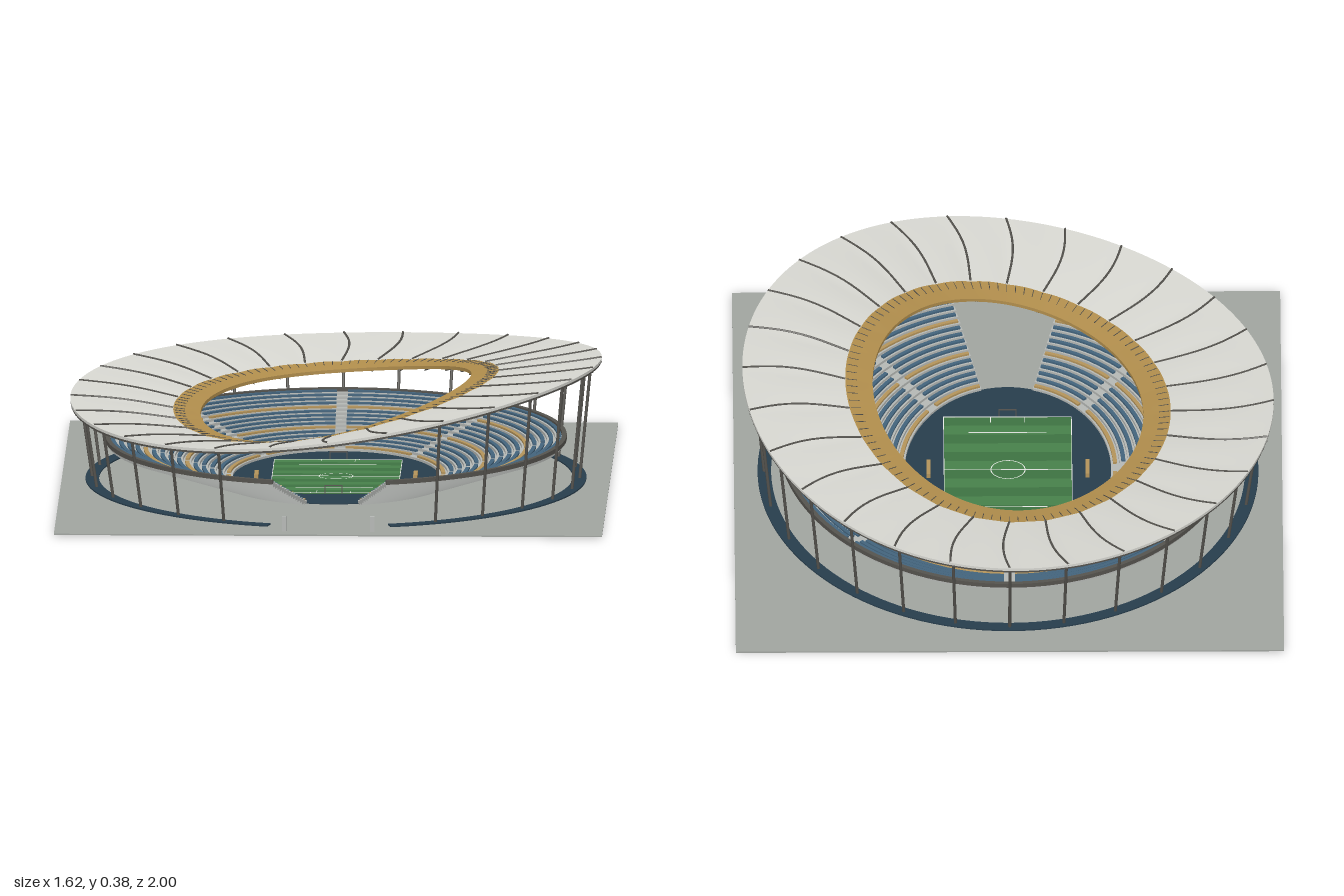
import * as THREE from 'three';
import { mergeGeometries, toCreasedNormals } from 'three/addons/utils/BufferGeometryUtils.js';

const TAU = Math.PI * 2, FRONT = Math.PI / 2, GATE = 0.25, BAYS = 28;
const COLORS = {
  ground: 0xa0a49f, navy: 0x273d4c, concrete: 0xb4b7b4, seat: 0x42637c, tan: 0xb3935a,
  roof: 0xd6d6d0, gold: 0xb08d4c, steel: 0x55534e, line: 0xe6e8e4, grassA: 0x47804a, grassB: 0x3d7241,
};

// Sweeps a closed profile of [rx, rz, y] points around an ellipse
function sweep(profile, t0 = 0, t1 = TAU, n = 112) {
  const pos = [], idx = [], full = t1 - t0 > TAU - 1e-6;
  let m = 0;
  for (let i = 0; i <= n; i++) {
    const t = t0 + (t1 - t0) * i / n, pts = profile(t);
    m = pts.length;
    for (const [rx, rz, y] of pts) pos.push(rx * Math.cos(t), y, rz * Math.sin(t));
  }
  for (let i = 0; i < n; i++) for (let j = 0; j < m; j++) {
    const a = i * m + j, b = i * m + (j + 1) % m, c = b + m, d = a + m;
    idx.push(a, b, c, a, c, d);
  }
  if (!full) for (let j = 1; j < m - 1; j++) {
    const e = n * m;
    idx.push(0, j + 1, j, e, e + j, e + j + 1);
  }
  const g = new THREE.BufferGeometry();
  g.setAttribute('position', new THREE.Float32BufferAttribute(pos, 3));
  g.setIndex(idx);
  return toCreasedNormals(g, 0.5);
}

// Elliptical band with a rectangular section
const band = (rx, rz, w, y0, y1, t0, t1, n) => sweep(() => [
  [rx, rz, y0], [rx + w, rz + w, y0], [rx + w, rz + w, y1], [rx, rz, y1]], t0, t1, n);

// Round bar between two points
function bar(a, b, r, sides = 6) {
  const d = b.clone().sub(a);
  const g = new THREE.CylinderGeometry(r, r, d.length(), sides);
  g.applyQuaternion(new THREE.Quaternion().setFromUnitVectors(new THREE.Vector3(0, 1, 0), d.normalize()));
  return g.translate((a.x + b.x) / 2, (a.y + b.y) / 2, (a.z + b.z) / 2);
}

const box = (w, h, d, x, y, z) => new THREE.BoxGeometry(w, h, d).translate(x, y + h / 2, z);

// Roof surface: t around the oval, s from outer edge (0) to inner edge (1)
function roofRing(t, s) {
  const outer = 0.292 + 0.06 * Math.cos(t) + 0.017 * Math.cos(2 * t) + 0.021 * Math.sin(2 * t);
  const inner = 0.246 + 0.057 * Math.cos(t) + 0.014 * Math.cos(2 * t) + 0.014 * Math.sin(2 * t);
  const bulge = 0.004 * Math.abs(Math.sin(t * BAYS / 2)) * Math.sin(Math.PI * s);
  return [0.785 - 0.385 * s, 0.975 - 0.395 * s, outer + (inner - outer) * s + bulge];
}
function roofPoint(t, s, dy = 0) {
  const [rx, rz, y] = roofRing(t, s);
  return new THREE.Vector3(rx * Math.cos(t), y + dy, rz * Math.sin(t));
}
function roofShell(s0, s1, steps, thick) {
  return sweep(t => {
    const top = [], under = [];
    for (let k = 0; k <= steps; k++) {
      const [rx, rz, y] = roofRing(t, s0 + (s1 - s0) * k / steps);
      top.push([rx, rz, y]);
      under.unshift([rx, rz, y - thick]);
    }
    return [...top, ...under];
  }, 0, TAU, BAYS * 8);
}

export function createModel() {
  const model = new THREE.Group();
  const materials = {};
  const add = (name, geo, color) => {
    materials[color] ??= new THREE.MeshStandardMaterial({ color: COLORS[color] });
    const mesh = new THREE.Mesh(Array.isArray(geo) ? mergeGeometries(geo) : geo, materials[color]);
    mesh.name = name;
    model.add(mesh);
  };

  // Ground, arena floor and the outer ring with its gate gap
  add('ground', box(1.62, 0.004, 2, 0, 0, 0), 'ground');
  add('arenaFloor', new THREE.CylinderGeometry(1, 1, 0.003, 96).scale(0.31, 1, 0.465).translate(0, 0.0055, 0), 'navy');
  add('outerRing', band(0.70, 0.85, 0.04, 0.004, 0.008, FRONT + GATE, FRONT + TAU - GATE), 'navy');
  add('gatePosts', [-1, 1].map(s => box(0.014, 0.045, 0.014, s * 0.13, 0.004, 0.94)), 'concrete');

  // Striped pitch
  const stripes = [[], []];
  for (let i = 0; i < 12; i++) stripes[i % 2].push(box(0.38, 0.003, 0.59 / 12, 0, 0.007, -0.295 + 0.59 * (i + 0.5) / 12));
  add('pitchLightStripes', stripes[0], 'grassA');
  add('pitchDarkStripes', stripes[1], 'grassB');

  // Pitch markings, goals and benches
  const lines = [], goals = [];
  const mark = (w, d, x, z) => lines.push(box(w, 0.001, d, x, 0.01, z));
  mark(0.38, 0.002, 0, 0);
  for (const s of [-1, 1]) {
    mark(0.38, 0.003, 0, s * 0.293);
    mark(0.23, 0.003, 0, s * 0.207);
    mark(0.002, 0.59, s * 0.189, 0);
    for (const x of [-0.05, 0.05]) mark(0.002, 0.03, x, s * 0.278);
    for (const x of [-0.025, 0.025]) goals.push(box(0.003, 0.025, 0.003, x, 0.007, s * 0.298));
    goals.push(box(0.053, 0.003, 0.003, 0, 0.031, s * 0.298));
  }
  lines.push(new THREE.RingGeometry(0.049, 0.052, 48).rotateX(-Math.PI / 2).translate(0, 0.0106, 0));
  add('pitchLines', lines, 'line');
  add('goals', goals, 'steel');
  add('benches', [-1, 1].map(s => box(0.012, 0.014, 0.08, s * 0.235, 0.007, 0)), 'tan');

  // Stepped seating bowl, open at the front; aisles every eighth turn
  const ROWS = 15, W = 0.0245;
  const terraces = [], seats = [], tanSeats = [];
  for (let i = 0; i < ROWS; i++) {
    const rx = 0.305 + i * W, rz = 0.46 + i * W, y = 0.014 + i * 0.0079;
    terraces.push(band(rx, rz, W + 0.002, Math.max(0.004, y - 0.013), y, FRONT + GATE, FRONT + TAU - GATE, 96));
    const half = 0.016 / rx;
    for (let k = 0; k < 8; k++) {
      let t0 = FRONT + k * TAU / 8 + half, t1 = FRONT + (k + 1) * TAU / 8 - half;
      if (k === 0) t0 = FRONT + GATE + 0.01;
      if (k === 7) t1 = FRONT + TAU - GATE - 0.01;
      (i % 5 === 0 ? tanSeats : seats).push(band(rx + 0.006, rz + 0.006, 0.012, y, y + 0.006, t0, t1, 12));
    }
  }
  add('terraces', terraces, 'concrete');
  add('seatRows', seats, 'seat');
  add('accentSeatRows', tanSeats, 'tan');
  add('bowlRim', band(0.668, 0.823, 0.014, 0.122, 0.135, FRONT + GATE, FRONT + TAU - GATE), 'steel');

  // Undulating roof with a coloured inner band
  add('roof', roofShell(0, 0.79, 8, 0.008), 'roof');
  add('roofInnerBand', roofShell(0.79, 1, 3, 0.01), 'gold');

  // Ribs over and under the roof, and leaning columns around the ring
  const ribs = [], columns = [], ticks = [];
  for (let i = 0; i < BAYS; i++) {
    const t = FRONT + i * TAU / BAYS;
    for (const [dy, end] of [[0.001, 0.79], [-0.012, 1]]) {
      const pts = [];
      for (let k = 0; k <= 6; k++) pts.push(roofPoint(t + 0.03 * Math.sin(Math.PI * k / 6), end * k / 6, dy));
      ribs.push(new THREE.TubeGeometry(new THREE.CatmullRomCurve3(pts), 10, 0.0035, 5));
    }
    for (let k = 0; k < 4; k++) {
      const u = t + k * TAU / BAYS / 4;
      ticks.push(bar(roofPoint(u, 0.8, 0.001), roofPoint(u, 0.88, 0.001), 0.0012, 4));
    }
    if (Math.min(i, BAYS - i) < 2) continue;
    const foot = new THREE.Vector3(0.72 * Math.cos(t), 0.004, 0.87 * Math.sin(t));
    columns.push(bar(foot, roofPoint(t, 0.08, -0.006), 0.0045, 8));
  }
  add('roofRibs', ribs, 'steel');
  add('innerBandTicks', ticks, 'steel');
  add('columns', columns, 'steel');

  // Thin ring purlins under the roof and an edge trim
  const purlins = [0.003, 0.2, 0.4, 0.6, 0.8].map(s => sweep(t => {
    const [ax, az, y] = roofRing(t, s);
    const w = 0.004;
    return [[ax - w, az - w, y - 0.014], [ax, az, y - 0.014], [ax, az, y - 0.006], [ax - w, az - w, y - 0.006]];
  }));
  add('roofPurlins', purlins, 'steel');

  return model;
}
